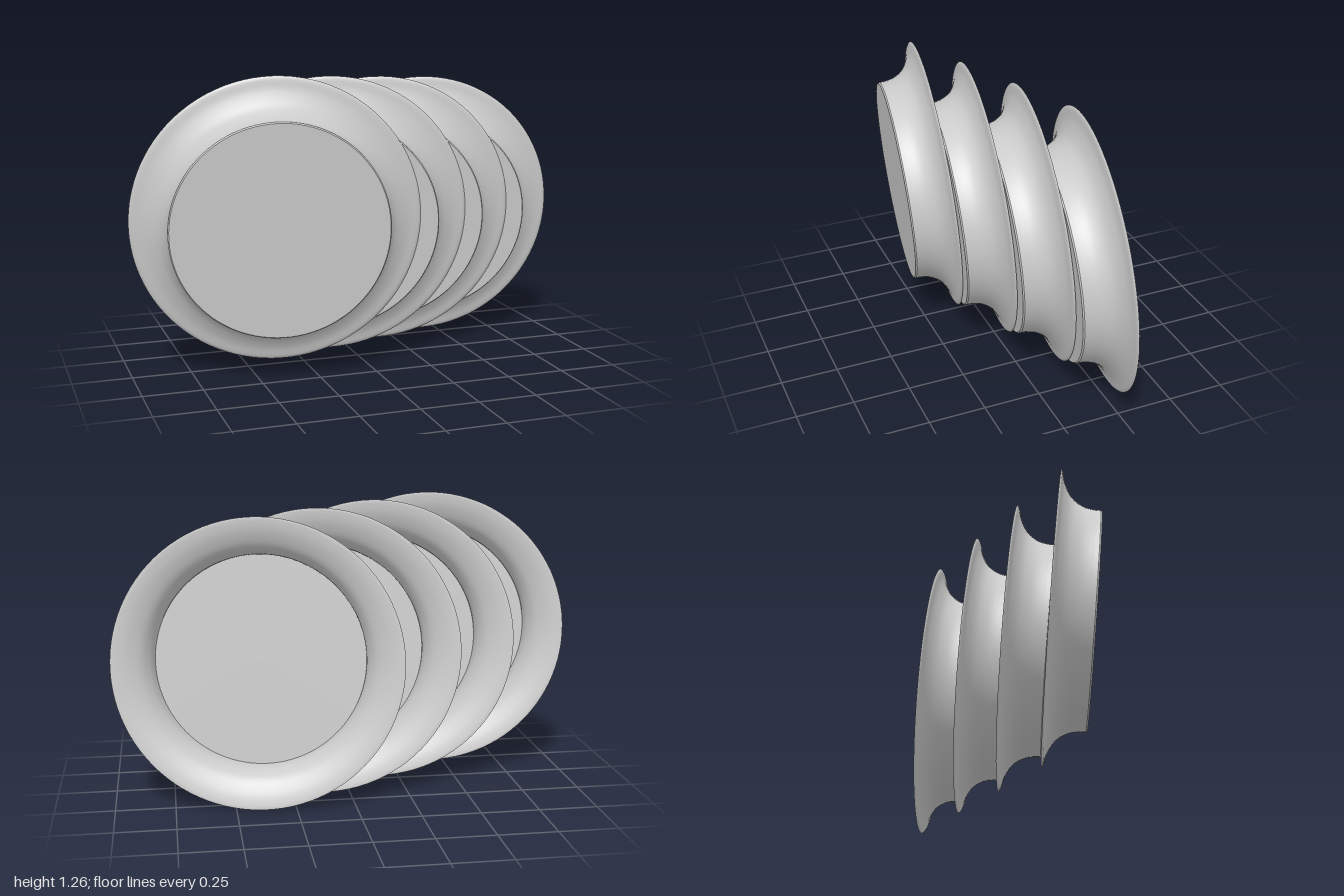
import * as THREE from 'three';
import { toCreasedNormals } from 'three/addons/utils/BufferGeometryUtils.js';

const HEIGHT = 0.175;

// Smooth flared wall from foot to rim, as [radius, height] samples
function flare(points, samples) {
  return new THREE.SplineCurve(points.map(([r, h]) => new THREE.Vector2(r, h))).getPoints(samples);
}

// One dish: flat base, concave flaring wall, thin rim, flat inner floor
function dishGeometry() {
  const outer = flare([[0.453, 0.006], [0.455, 0.04], [0.466, 0.082], [0.496, 0.125],
    [0.55, 0.156], [0.597, 0.168], [0.609, HEIGHT]], 24);
  const inner = flare([[0.609, HEIGHT], [0.592, 0.174], [0.546, 0.162], [0.491, 0.131],
    [0.46, 0.085], [0.45, 0.045], [0.448, 0.016]], 24).slice(1);
  const profile = [
    new THREE.Vector2(0, 0), new THREE.Vector2(0.448, 0),
    ...outer, ...inner, new THREE.Vector2(0, 0.016),
  ];
  return toCreasedNormals(new THREE.LatheGeometry(profile, 96), 0.6);
}

export function createModel() {
  const model = new THREE.Group();
  model.name = 'stackedDishes';

  const geometry = dishGeometry();
  const material = new THREE.MeshStandardMaterial({ color: 0xcccccc, side: THREE.DoubleSide });

  // Each dish opens toward the back, tilted slightly
  const baseNormal = new THREE.Vector3(-0.17, -0.086, 1).normalize();
  const tilt = new THREE.Quaternion().setFromUnitVectors(
    new THREE.Vector3(0, 1, 0), baseNormal.clone().negate());
  const firstRim = new THREE.Vector3(-0.4, 0.665, 0.135);
  const step = new THREE.Vector3(0.267, -0.0165, -0.1375);

  // Row of four overlapping dishes
  for (let i = 0; i < 4; i++) {
    const dish = new THREE.Mesh(geometry, material);
    dish.name = `dish${i + 1}`;
    dish.quaternion.copy(tilt);
    dish.position.copy(firstRim).addScaledVector(step, i).addScaledVector(baseNormal, HEIGHT);
    model.add(dish);
  }
  return model;
}
